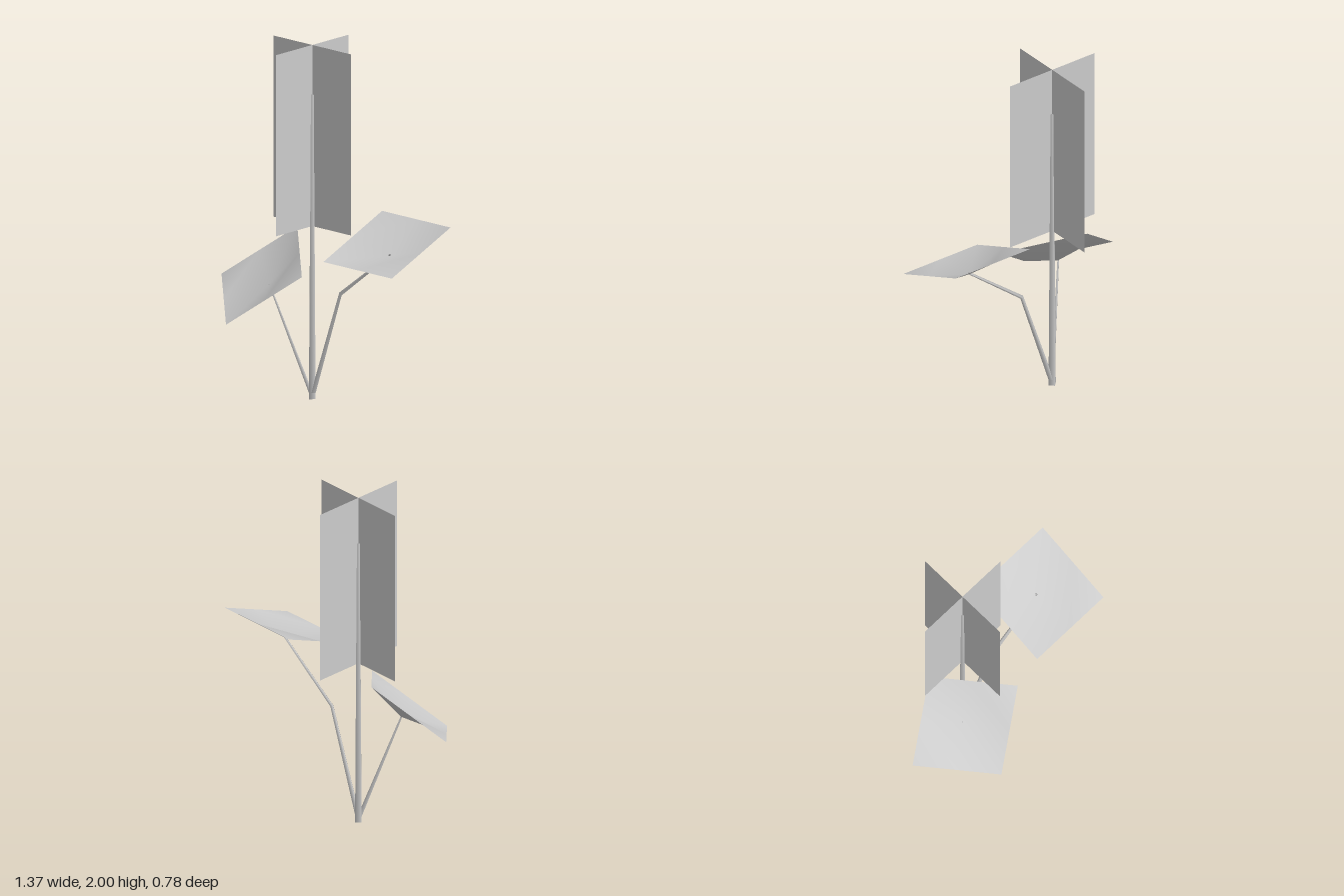
import * as THREE from 'three';

const V = (x, y, z) => new THREE.Vector3(x, y, z);
const solid = new THREE.MeshStandardMaterial({ color: 0xcccccc });
const thin = new THREE.MeshStandardMaterial({ color: 0xcccccc, side: THREE.DoubleSide });

function part(name, geometry, material) {
  const mesh = new THREE.Mesh(geometry, material);
  mesh.name = name;
  return mesh;
}

// Four-sided tapered stalk through the points, mitred at bends, closed at both ends
function stalk(points, radii) {
  const pos = [], idx = [], last = points.length - 1, up = V(0, 1, 0);
  points.forEach((p, i) => {
    const dir = V(0, 0, 0);
    if (i > 0) dir.add(p.clone().sub(points[i - 1]).normalize());
    if (i < last) dir.add(points[i + 1].clone().sub(p).normalize());
    const q = new THREE.Quaternion().setFromUnitVectors(up, dir.normalize());
    for (let k = 0; k < 4; k++) {
      const a = k * Math.PI / 2;
      const v = V(Math.sin(a), 0, Math.cos(a)).multiplyScalar(radii[i]);
      pos.push(...v.applyQuaternion(q).add(p).toArray());
    }
    if (i === last) return;
    for (let k = 0; k < 4; k++) {
      const a = i * 4 + k, b = i * 4 + (k + 1) % 4;
      idx.push(a, b, a + 4, b, b + 4, a + 4);
    }
  });
  const e = last * 4;
  idx.push(0, 2, 1, 0, 3, 2, e, e + 1, e + 2, e, e + 2, e + 3);
  const g = new THREE.BufferGeometry();
  g.setAttribute('position', new THREE.Float32BufferAttribute(pos, 3));
  g.setIndex(idx);
  g.computeVertexNormals();
  return g;
}

// Square leaf whose middle is pulled down to the stalk tip
function leaf(center, right, up) {
  const g = new THREE.PlaneGeometry(0.51, 0.51, 2, 2);
  g.attributes.position.setZ(4, -0.072);
  const x = right.normalize(), z = x.clone().cross(up).normalize(), y = z.clone().cross(x);
  g.applyMatrix4(new THREE.Matrix4().makeBasis(x, y, z).setPosition(center));
  g.computeVertexNormals();
  return g;
}

export function createModel() {
  const group = new THREE.Group();
  const base = V(-0.15, 0.01, -0.1);

  // Main stem
  group.add(part('mainStem', stalk([V(-0.15, 0, -0.1), V(-0.15, 1.72, -0.1)], [0.025, 0.011]), solid));

  // Bent and straight leaf stalks
  group.add(part('leftLeafStalk',
    stalk([base, V(0.06, 0.63, -0.1), V(0.425, 0.918, -0.106)], [0.016, 0.011, 0.007]), solid));
  group.add(part('rightLeafStalk',
    stalk([base, V(-0.318, 0.648, 0.064)], [0.014, 0.006]), solid));

  // Leaves
  group.add(part('leftLeaf', leaf(V(0.425, 0.98, -0.08), V(1, 0, 0), V(0, 0.195, -0.47)), thin));
  group.add(part('rightLeaf',
    leaf(V(-0.335, 0.703, 0.107), V(0.352, 0.288, -0.228), V(-0.347, 0.157, -0.337)), thin));

  // Two crossed upright panels forming the flower head
  for (let i = 0; i < 2; i++) {
    const panel = part('flowerPanel' + (i + 1), new THREE.PlaneGeometry(0.58, 1.025), thin);
    panel.position.set(-0.15, 1.4875, -0.1);
    panel.rotation.y = i * Math.PI / 2;
    group.add(panel);
  }
  return group;
}
